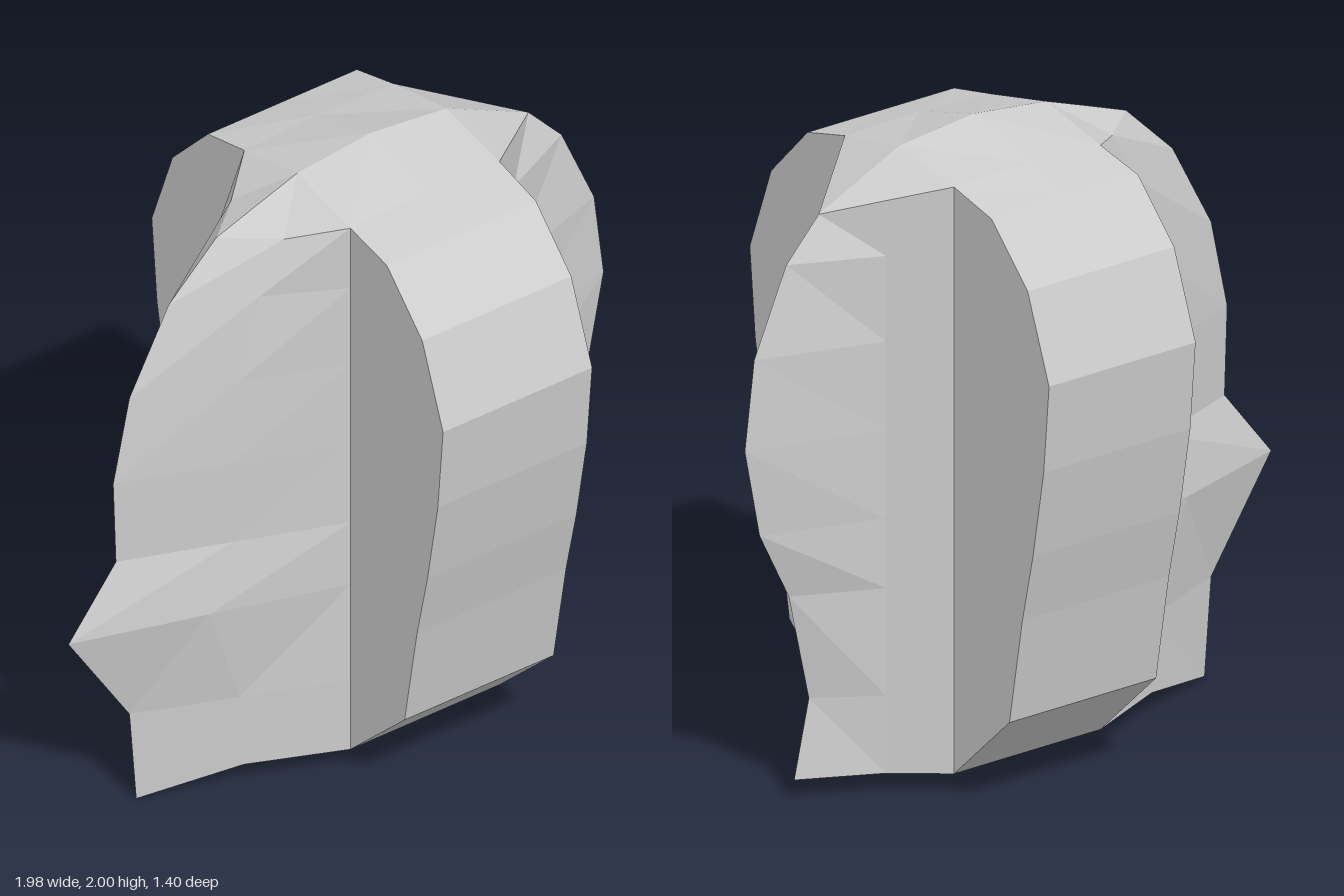
import * as THREE from 'three';

const grey = new THREE.MeshStandardMaterial({ color: 0xcccccc });
grey.name = 'plain grey';

// Flat-shaded sheet through rows of [x, y, z] points, mirrored across z = 0
function sheet(name, rows) {
  const pos = [];
  const tri = (a, b, c) => {
    const [A, B, C] = [a, b, c].map(p => new THREE.Vector3(...p));
    if (B.clone().sub(A).cross(C.clone().sub(A)).length() < 1e-7) return;
    pos.push(...a, ...b, ...c);
    const [ma, mb, mc] = [a, b, c].map(([x, y, z]) => [x, y, -z]);
    pos.push(...ma, ...mc, ...mb);
  };
  for (let r = 0; r < rows.length - 1; r++) {
    for (let i = 0; i < rows[r].length - 1; i++) {
      const a = rows[r][i], b = rows[r][i + 1], c = rows[r + 1][i + 1], d = rows[r + 1][i];
      tri(a, b, c);
      tri(a, c, d);
    }
  }
  const g = new THREE.BufferGeometry();
  g.setAttribute('position', new THREE.Float32BufferAttribute(pos, 3));
  g.computeVertexNormals();
  const mesh = new THREE.Mesh(g, grey);
  mesh.name = name;
  return mesh;
}

export function createModel() {
  const head = new THREE.Group();
  head.name = 'head';

  const X0 = -0.145, XM = 0.125, X1 = 0.405; // block edges and centre
  const ZC = 0.255, ZM = 0.127;              // block corner and wedge crease
  const base = 0.065;
  const levels = [base, 0.31, 0.65, 0.87, 1.15, 1.43, 1.7];

  // Face wedge, with nose and chin on its centre line
  const faceX = [-0.74, -0.765, -0.99, -0.815, -0.825, -0.765, -0.62];
  const faceRows = levels.map((y, i) => [
    [faceX[i], i ? y : 0, 0],
    [i ? (faceX[i] + X0) / 2 : -0.44, y, ZM],
    [X0, y, ZC],
  ]);
  const brow = [[-0.445, 1.865, 0], [-0.292, 1.865, ZM], [X0, 1.912, ZC]];
  head.add(sheet('face', [...faceRows, brow]));

  // Back-of-head wedge
  const backX = [0.8, 0.745, 0.82, 0.93, 0.985, 0.95, 0.83];
  const backRows = levels.map((y, i) => [[X1, y, ZC], [0.557, y, ZM], [backX[i], y, 0]]);
  const crown = [[X1, 1.92, ZC], [0.557, 1.875, ZM], [0.708, 1.83, 0]];
  head.add(sheet('backOfHead', [...backRows, crown]));

  // Wide cross block over the sides and top of the head
  const outline = [[ZC, base], [0.515, 0.31], [0.575, 0.65], [0.625, 0.87],
    [0.675, 1.15], [0.7, 1.43], [0.6, 1.7], [0.43, 1.875]];
  head.add(sheet('sideBlock', [
    ...outline.map(([z, y]) => [X0, XM, X1].map(x => [x, y, z])),
    [[X0, 1.912, ZC], [XM, 1.926, ZC], [X1, 1.92, ZC]],
    [[X0, 1.97, 0], [XM, 2, 0], [X1, 1.97, 0]],
  ]));

  // Upright flat walls of the block
  head.add(sheet('faceSideWall', [...outline, [ZC, 1.912]].map(([z, y]) => [[X0, y, ZC], [X0, y, z]])));
  head.add(sheet('backSideWall', [...outline, [ZC, 1.92]].map(([z, y]) => [[X1, y, z], [X1, y, ZC]])));

  // Sloped caps joining the wedges to the crown
  head.add(sheet('foreheadCap', [brow, [brow[0], [-0.295, 1.918, 0], [X0, 1.97, 0]]]));
  head.add(sheet('crownCap', [crown, [[X1, 1.97, 0], [0.557, 1.9, 0], crown[2]]]));

  // Underside of neck and chin
  const rim = [...faceRows[0], ...backRows[0]];
  const middle = rim.map(([x, y]) => [x, y, 0]);
  head.add(sheet('underside', [middle, rim]));

  return head;
}
